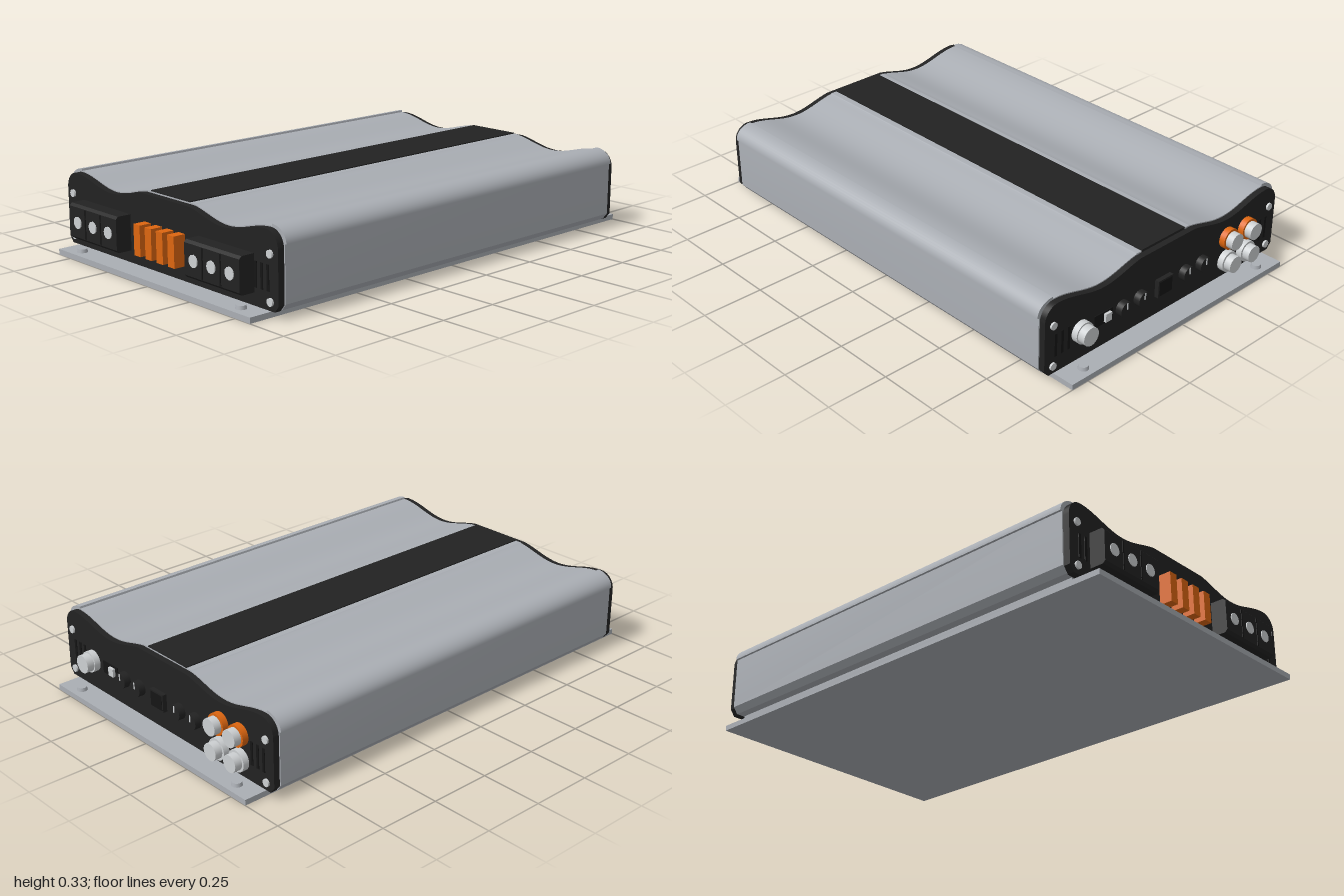
import * as THREE from 'three';
import { toCreasedNormals } from 'three/addons/utils/BufferGeometryUtils.js';

const mat = (name, color) => {
  const m = new THREE.MeshStandardMaterial({ color });
  m.name = name;
  return m;
};

export function createModel() {
  const model = new THREE.Group();
  const silver = mat('brushed silver', 0xaaaeb4);
  const bright = mat('bright metal', 0xcdd0d2);
  const black = mat('black plastic', 0x222222);
  const dark = mat('deep black', 0x151515);
  const orange = mat('orange', 0xdd6610);

  const add = (name, geo, material, x = 0, y = 0, z = 0, parent = model) => {
    const m = new THREE.Mesh(geo, material);
    m.name = name;
    m.position.set(x, y, z);
    parent.add(m);
    return m;
  };
  // Box given by its limits on each axis
  const block = (name, material, x0, x1, y0, y1, z0, z1) =>
    add(name, new THREE.BoxGeometry(x1 - x0, y1 - y0, z1 - z0), material,
      (x0 + x1) / 2, (y0 + y1) / 2, (z0 + z1) / 2);
  // Cylinder lying along x between two positions
  const disc = (name, material, x0, x1, r, y, z, sides = 24) =>
    add(name, new THREE.CylinderGeometry(r, r, Math.abs(x1 - x0), sides).rotateZ(Math.PI / 2),
      material, (x0 + x1) / 2, y, z);
  // Mirror half a (z, y) outline and extrude it along x
  const extrudeHalf = (half, x0, x1) => {
    const pts = [...half, ...half.map(([z, y]) => [-z, y]).reverse()]
      .map(([z, y]) => new THREE.Vector2(z, y));
    const geo = new THREE.ExtrudeGeometry(new THREE.Shape(pts),
      { depth: x1 - x0, bevelEnabled: false });
    geo.rotateY(Math.PI / 2).translate(x0, 0, 0);
    return toCreasedNormals(geo, 0.45);
  };
  const wave = (drop, from, to, n = 20) => Array.from({ length: n + 1 }, (_, i) => {
    const z = from + (to - from) * i / n;
    return [z, 0.298 - 0.02 * Math.cos((z - 0.335) / 0.23 * Math.PI) - drop];
  });
  const arc = (cz, cy, rz, ry, n = 10) => Array.from({ length: n + 1 }, (_, i) => {
    const a = Math.PI / 2 * (1 - i / n);
    return [cz + rz * Math.cos(a), cy + ry * Math.sin(a)];
  });

  // Wavy casing with raised corner ribs
  add('casing', extrudeHalf([
    [0.12, 0.317], [0.143, 0.317], ...wave(0, 0.147, 0.565),
    ...arc(0.567, 0.268, 0.072, 0.058), [0.632, 0.266], [0.632, 0.055], [0.612, 0.03],
  ], -0.887, 0.885), silver);
  block('centreStrip', black, -0.887, 0.885, 0.31, 0.321, -0.117, 0.117);

  // End plates
  const plateOutline = [
    [0.12, 0.311], ...wave(0.004, 0.147, 0.56), ...arc(0.565, 0.25, 0.062, 0.064),
    [0.627, 0.052], [0.607, 0.027],
  ];
  add('rightEndPlate', extrudeHalf(plateOutline, -0.914, -0.886), black);
  add('leftEndPlate', extrudeHalf(plateOutline, 0.884, 0.91), black);

  // Mounting base
  block('basePlate', silver, -1, 1, 0, 0.022, -0.578, 0.578);
  block('baseCore', silver, -0.88, 0.88, 0.02, 0.04, -0.578, 0.578);

  for (const s of [-1, 1]) {
    const face = s > 0 ? 0.91 : -0.914;
    for (const t of [-1, 1]) {
      add('baseScrew', new THREE.CylinderGeometry(0.018, 0.021, 0.014, 20), silver,
        s * 0.957, 0.029, t * 0.48);
      for (const y of [0.06, 0.23])
        disc('plateScrew', bright, face, face + s * 0.008, 0.015, y, t * 0.588, 12);
      // Ventilation slots
      for (const z of [0.51, 0.542, 0.574]) {
        const slot = block('ventSlot', dark, 0, 0.003, 0.095, 0.19, t * z - 0.006, t * z + 0.006);
        slot.position.x = face + s * 0.001;
      }
    }
  }

  // Control side: sockets with stepped collars
  const socket = (name, y, z, collar) => {
    disc(name + 'Collar', collar, 0.908, 0.935, 0.043, y, z, 28);
    disc(name + 'Barrel', bright, 0.93, 0.965, 0.034, y, z, 28);
  };
  for (const z of [-0.34, -0.45]) {
    socket('upperSocket', 0.195, z, orange);
    socket('lowerSocket', 0.095, z, bright);
  }
  disc('remoteSocketCollar', bright, 0.908, 0.935, 0.043, 0.145, 0.452, 28);
  disc('remoteSocketBarrel', bright, 0.93, 0.965, 0.037, 0.145, 0.452, 28);

  // Dials with pointer marks
  for (const z of [0.24, 0.146, -0.1, -0.195]) {
    disc('dial', black, 0.908, 0.938, 0.031, 0.145, z, 28);
    block('dialPointer', bright, 0.937, 0.94, 0.147, 0.174, z - 0.003, z + 0.003);
  }
  block('portSocket', black, 0.908, 0.928, 0.108, 0.18, -0.018, 0.062);
  block('portOpening', dark, 0.927, 0.929, 0.114, 0.174, -0.012, 0.056);
  block('switchFrame', dark, 0.908, 0.914, 0.12, 0.17, 0.29, 0.384);
  block('switchSlider', bright, 0.912, 0.925, 0.129, 0.163, 0.305, 0.336);

  // Terminal side: chamfered blocks with clamp screws
  for (const z of [-0.367, 0.35]) {
    const w = 0.152, c = 0.012;
    const side = new THREE.Shape([[0.905, 0.075], [0.97, 0.075], [0.98, 0.085],
      [0.98, 0.205], [0.97, 0.215], [0.905, 0.215]].map(([x, y]) => new THREE.Vector2(x, y)));
    const geo = new THREE.ExtrudeGeometry(side, { depth: 2 * w, bevelEnabled: false });
    geo.translate(0, 0, -w).rotateY(Math.PI);
    add('terminalBlock', geo, black, 0, 0, z);
    for (const i of [-1, 0, 1])
      disc('terminalScrew', bright, -0.975, -0.984, 0.024, 0.145, z + i * 0.1, 12);
    for (const i of [-0.5, 0.5])
      block('terminalDivider', dark, -0.982, -0.978, 0.075 + c, 0.215 - c,
        z + i * 0.1 - 0.003, z + i * 0.1 + 0.003);
  }

  // Row of blade fuses
  for (const z of [-0.106, -0.037, 0.031, 0.099])
    block('fuse', orange, -0.965, -0.91, 0.085, 0.205, z - 0.019, z + 0.019);

  return model;
}
